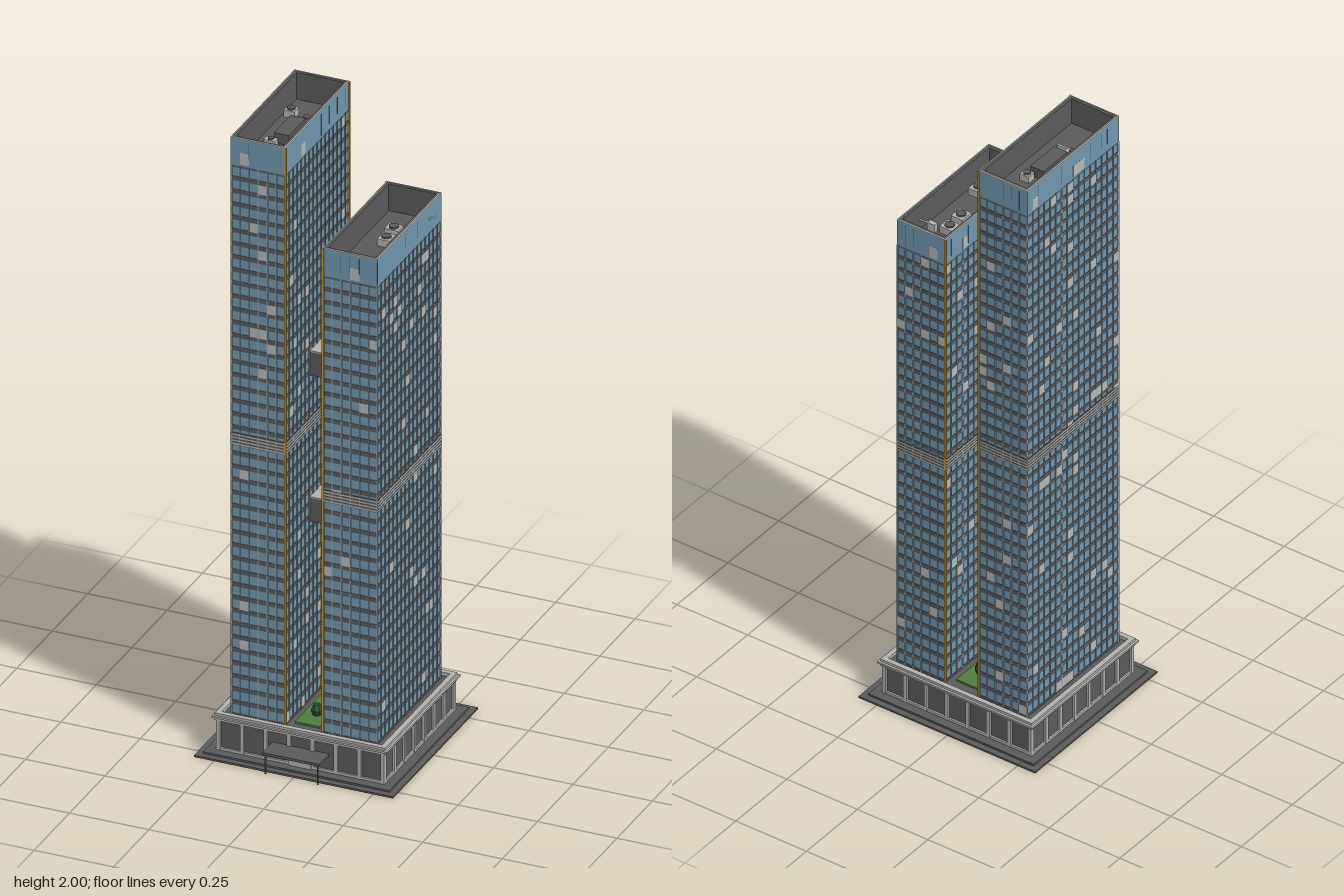
import * as THREE from 'three';
import { mergeGeometries } from 'three/addons/utils/BufferGeometryUtils.js';

const mat = (name, color) => {
  const m = new THREE.MeshStandardMaterial({ color });
  m.name = name;
  return m;
};

export function createModel() {
  const glass = mat('blueGlass', 0x7096ae), dark = mat('darkGrey', 0x5a5a5a);
  const light = mat('lightGrey', 0xb0b2ae), gold = mat('gold', 0xd09a28);
  const green = mat('lawnGreen', 0x4f7d42), shrubGreen = mat('shrubGreen', 0x2f4f30);
  const blind = mat('blindGrey', 0xb4b8b6), silver = mat('mullionGrey', 0x9aa3a8);
  const model = new THREE.Group();
  model.name = 'twinTowers';
  const CZ = -0.01;

  // box from its limits
  const box = (x0, x1, y0, y1, z0, z1) =>
    new THREE.BoxGeometry(x1 - x0, y1 - y0, z1 - z0).translate((x0 + x1) / 2, (y0 + y1) / 2, (z0 + z1) / 2);
  const add = (parent, name, geos, material) => {
    const list = [].concat(geos);
    const mesh = new THREE.Mesh(list.length > 1 ? mergeGeometries(list) : list[0], material);
    mesh.name = name;
    parent.add(mesh);
    return mesh;
  };
  // rectangular frame lying flat, centred on cx, cz
  const ring = (cx, cz, hx, hz, t, y0, y1) => {
    const rect = (P, a, b) => {
      const p = new P();
      p.moveTo(-a, -b); p.lineTo(a, -b); p.lineTo(a, b); p.lineTo(-a, b); p.closePath();
      return p;
    };
    const s = rect(THREE.Shape, hx, hz);
    s.holes.push(rect(THREE.Path, hx - t, hz - t));
    return new THREE.ExtrudeGeometry(s, { depth: y1 - y0, bevelEnabled: false })
      .rotateX(-Math.PI / 2).translate(cx, y0, cz);
  };
  let seed = 7;
  const rand = () => (seed = (seed * 16807) % 2147483647) / 2147483647;

  // plaza and podium
  const podium = new THREE.Group();
  podium.name = 'podium';
  model.add(podium);
  const slab = (h, d, y0, y1) => box(-h, h, y0, y1, CZ - d, CZ + d);
  add(podium, 'plaza', [slab(0.313, 0.3, 0, 0.006), slab(0.293, 0.28, 0.006, 0.012)], dark);
  add(podium, 'podiumWalls', slab(0.258, 0.245, 0.012, 0.12), dark);
  add(podium, 'cornice', [ring(0, CZ, 0.268, 0.255, 0.02, 0.108, 0.118),
    ring(0, CZ, 0.275, 0.262, 0.022, 0.118, 0.124), ring(0, CZ, 0.268, 0.255, 0.016, 0.124, 0.132),
    ring(0, CZ, 0.264, 0.251, 0.01, 0.012, 0.02)], light);
  const piers = [];
  for (let i = 0; i <= 7; i++) {
    const x = -0.258 + (i * 0.516) / 7, z = CZ - 0.245 + (i * 0.49) / 7;
    for (const s of [-1, 1]) {
      const zz = CZ + s * 0.246, xx = s * 0.259;
      piers.push(box(x - 0.006, x + 0.006, 0.012, 0.11, zz - 0.006, zz + 0.006));
      piers.push(box(xx - 0.006, xx + 0.006, 0.012, 0.11, z - 0.006, z + 0.006));
    }
  }
  add(podium, 'podiumPiers', piers, light);

  // entrance
  add(podium, 'canopy', [box(-0.09, 0.088, 0.063, 0.071, 0.236, 0.307),
    ...[-0.083, 0.081].map(x => box(x - 0.002, x + 0.002, 0, 0.063, 0.299, 0.303))], dark);
  add(podium, 'entranceDoors', box(-0.035, 0.035, 0.012, 0.052, 0.235, 0.246), light);
  add(podium, 'entranceTrim', box(-0.038, 0.038, 0.052, 0.058, 0.235, 0.248), gold);

  // garden between the towers
  add(podium, 'lawn', box(-0.04, 0.038, 0.12, 0.126, -0.211, 0.19), green);
  add(podium, 'shrubs', [-0.145, -0.055, 0.035, 0.125].flatMap(z => [
    new THREE.CylinderGeometry(0.011, 0.018, 0.018, 7).translate(0, 0.151, z),
    new THREE.CylinderGeometry(0.018, 0.012, 0.016, 7).translate(0, 0.134, z)]), shrubGreen).material.flatShading = true;

  // one tower: glass core, spandrels, mullions, blinds, louvres, crown
  const HX = 0.086, HZ = 0.225, BASE = 0.12, FLOOR = 0.0426;
  function tower(name, cx, top, louvreY) {
    const g = new THREE.Group();
    g.name = name;
    model.add(g);
    const deck = top - 0.09, floors = Math.round((deck - BASE) / FLOOR), fh = (deck - BASE) / floors;
    const around = (e, y0, y1) => box(cx - HX - e, cx + HX + e, y0, y1, CZ - HZ - e, CZ + HZ + e);
    add(g, 'glassCore', around(-0.002, BASE, deck - 0.001), glass);
    const bands = [], blinds = [], fins = [], slits = [], crownPanels = [];
    for (let f = 0; f <= floors; f++) {
      const y = BASE + f * fh;
      bands.push(around(-0.0007, y - (f ? 0.007 : 0), f === floors ? y : y + 0.007));
    }
    // a thin plate on a face: u along the face, side 0-3
    const plate = (side, u0, u1, y0, y1, e) => {
      const s = side % 2 ? 1 : -1;
      if (side < 2) {
        const z = CZ + s * HZ, a = z - s * 0.004, b = z + s * e;
        return box(cx + u0, cx + u1, y0, y1, Math.min(a, b), Math.max(a, b));
      }
      const x = cx + s * HX, a = x - s * 0.004, b = x + s * e;
      return box(Math.min(a, b), Math.max(a, b), y0, y1, CZ + u0, CZ + u1);
    };
    for (let side = 0; side < 4; side++) {
      const h = side < 2 ? HX : HZ, n = side < 2 ? 6 : 16, w = (2 * h) / n;
      for (let i = 0; i <= n; i++) {
        const u = Math.min(Math.max(-h + i * w, -h + 0.0013), h - 0.0013);
        fins.push(plate(side, u - 0.0013, u + 0.0013, BASE, deck, 0.001));
        if (i === n) continue;
        for (let f = 0; f < floors; f++)
          if (rand() < 0.045)
            blinds.push(plate(side, u, u + w, BASE + f * fh + 0.006, BASE + (f + 1) * fh - 0.006, 0.0003));
        if (rand() < 0.4) slits.push(plate(side, u + w - 0.0015, u + w, deck + rand() * 0.03, top - 0.012, 0.0006));
        if (rand() < 0.1) crownPanels.push(plate(side, u, u + w, deck + 0.006, deck + 0.045, 0.0003));
      }
    }
    add(g, 'spandrels', bands, dark);
    add(g, 'mullions', fins, silver);
    add(g, 'blinds', blinds, blind);
    add(g, 'crownSlits', slits, dark);
    if (crownPanels.length) add(g, 'crownPanels', crownPanels, blind);
    // mechanical floor
    add(g, 'louvreRecess', around(0.0005, louvreY - 0.02, louvreY + 0.02), dark);
    add(g, 'louvres', [-0.015, -0.005, 0.005, 0.015].map(d =>
      around(0.0015, louvreY + d - 0.0025, louvreY + d + 0.0025)), light);
    // crown parapet and roof deck
    add(g, 'crownGlass', ring(cx, CZ, HX, HZ, 0.004, deck, top - 0.003), glass);
    add(g, 'parapet', ring(cx, CZ, HX - 0.004, HZ - 0.004, 0.008, deck, top - 0.001), dark);
    add(g, 'coping', ring(cx, CZ, HX + 0.0005, HZ + 0.0005, 0.004, top - 0.003, top), light);
    add(g, 'roofDeck', box(cx - HX + 0.003, cx + HX - 0.003, deck - 0.004, deck + 0.002,
      CZ - HZ + 0.003, CZ + HZ - 0.003), dark);
    // gold corner strips facing the gap
    const ex = cx - Math.sign(cx) * HX;
    add(g, 'goldStrips', [-1, 1].map(s => box(ex - 0.003, ex + 0.003, BASE, top - 0.001,
      CZ + s * HZ - 0.003, CZ + s * HZ + 0.003)), gold);
    return { g, deck };
  }

  // rooftop cooling units with round fans
  function roofUnits({ g, deck }, units, bar) {
    add(g, 'coolingUnits', units.map(([x, z, w, d]) =>
      box(x - w / 2, x + w / 2, deck, deck + 0.025, z - d / 2, z + d / 2)), light);
    add(g, 'coolingFans', units.map(([x, z, w, d]) =>
      new THREE.CylinderGeometry(Math.min(w, d) * 0.37, Math.min(w, d) * 0.37, 0.006, 14)
        .translate(x, deck + 0.027, z)), dark);
    add(g, 'roofPipe', box(bar[0], bar[1], deck, deck + 0.015, 0.081, 0.088), light);
  }
  const tall = tower('tallTower', -0.145, 2, 1.02);
  const short = tower('shortTower', 0.145, 1.7, 0.895);
  roofUnits(tall, [[-0.192, -0.125, 0.034, 0.032], [-0.127, -0.092, 0.031, 0.03],
    [-0.17, 0.069, 0.036, 0.024]], [-0.185, -0.108]);
  roofUnits(short, [[0.143, -0.098, 0.044, 0.04], [0.148, -0.035, 0.04, 0.045],
    [0.187, 0.102, 0.037, 0.045]], [0.105, 0.168]);
  add(tall.g, 'liftHouse', box(-0.17, -0.122, tall.deck, tall.deck + 0.035, -0.07, 0.047), dark);

  // maintenance crane on the shorter roof
  add(short.g, 'craneBase', box(0.174, 0.2, short.deck, short.deck + 0.03, -0.13, -0.114), light);
  const a = new THREE.Vector3(0.187, 1.635, -0.122), b = new THREE.Vector3(0.249, 1.663, -0.16);
  add(short.g, 'craneArm', new THREE.TubeGeometry(new THREE.LineCurve3(a, b), 1, 0.003, 6), light);

  // sky bridges
  for (const y of [0.7, 1.175]) {
    const g = new THREE.Group();
    g.name = 'skyBridge';
    model.add(g);
    add(g, 'bridgeBody', box(-0.06, 0.06, y, y + 0.077, -0.059, 0.039), dark);
    add(g, 'bridgeRoof', box(-0.06, 0.06, y + 0.077, y + 0.081, -0.06, 0.04), light);
  }
  return model;
}
